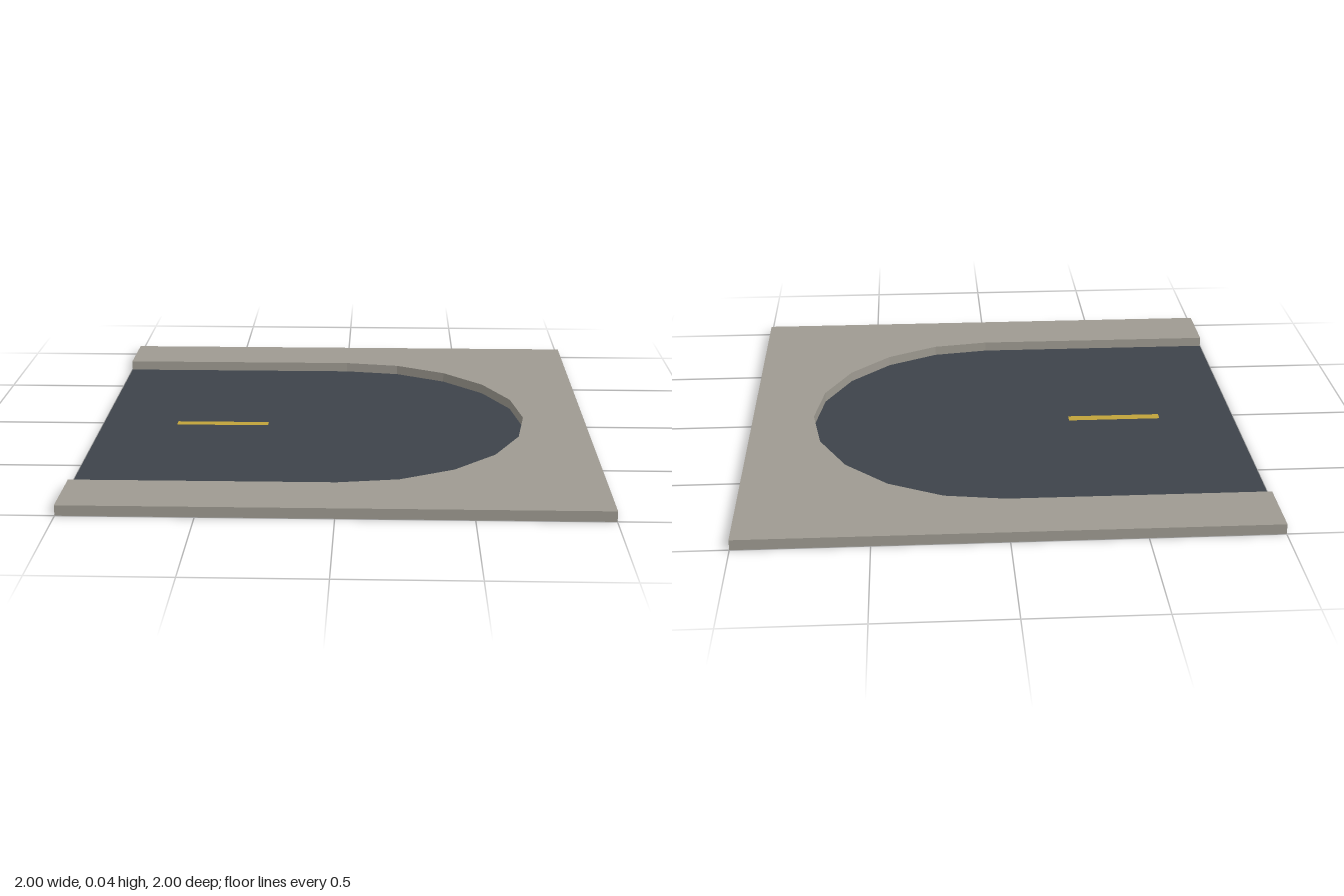
import * as THREE from 'three';

const HEIGHT = 0.04;  // kerb height
const RADIUS = 0.75;  // half road width and turning circle radius
const STEPS = 10;     // segments in the half circle

// Flat geometry lying in the ground plane, facing up
function flat(points, y) {
  const geometry = new THREE.ShapeGeometry(new THREE.Shape(points));
  return geometry.rotateX(-Math.PI / 2).translate(0, y, 0);
}

// Upright quads along plan segments [a, b], from the ground to kerb height
function walls(segments) {
  const positions = [];
  for (const [a, b] of segments) {
    const [p, q, r, s] = [[a, 0], [b, 0], [b, HEIGHT], [a, HEIGHT]].map(([v, y]) => [v.x, y, -v.y]);
    positions.push(...p, ...q, ...r, ...p, ...r, ...s);
  }
  const geometry = new THREE.BufferGeometry();
  geometry.setAttribute('position', new THREE.Float32BufferAttribute(positions, 3));
  geometry.computeVertexNormals();
  return geometry;
}

export function createModel() {
  const group = new THREE.Group();
  const material = (name, color) => {
    const m = new THREE.MeshStandardMaterial({ color, side: THREE.DoubleSide, flatShading: true });
    m.name = name;
    return m;
  };
  const concrete = material('concrete', 0x9e9a91);
  const asphalt = material('asphalt', 0x3d434a);
  const yellow = material('yellow paint', 0xc0a23a);

  const add = (name, geometry, mat) => {
    const mesh = new THREE.Mesh(geometry, mat);
    mesh.name = name;
    group.add(mesh);
  };
  const v = (x, y) => new THREE.Vector2(x, y);

  // Half circle at the closed end of the road
  const arc = [];
  for (let i = 0; i <= STEPS; i++) {
    const angle = Math.PI / 2 - (i * Math.PI) / STEPS;
    arc.push(v(RADIUS * Math.cos(angle), RADIUS * Math.sin(angle)));
  }

  // Pavement: raised top and its outer and kerb walls, open underneath
  const outline = [v(-1, -1), v(1, -1), v(1, 1), v(-1, 1), v(-1, RADIUS), ...arc, v(-1, -RADIUS)];
  add('pavementTop', flat(outline, HEIGHT), concrete);
  add('pavementWalls', walls(outline.map((p, i) => [p, outline[(i + 1) % outline.length]])), concrete);

  // Ribs under the pavement, from each arc corner to the closed edge
  add('pavementRibs', walls(arc.map((p) => [p, v(1, p.y)])), concrete);

  // Road surface: straight part and turning circle
  add('roadStraight', flat([v(-1, -RADIUS), v(0, -RADIUS), v(0, RADIUS), v(-1, RADIUS)], 0), asphalt);
  add('roadTurningCircle', flat(arc, 0), asphalt);

  // Centre line dash
  add('centreDash', flat([v(-0.69, -0.02), v(-0.31, -0.02), v(-0.31, 0.02), v(-0.69, 0.02)], 0.003), yellow);

  return group;
}
